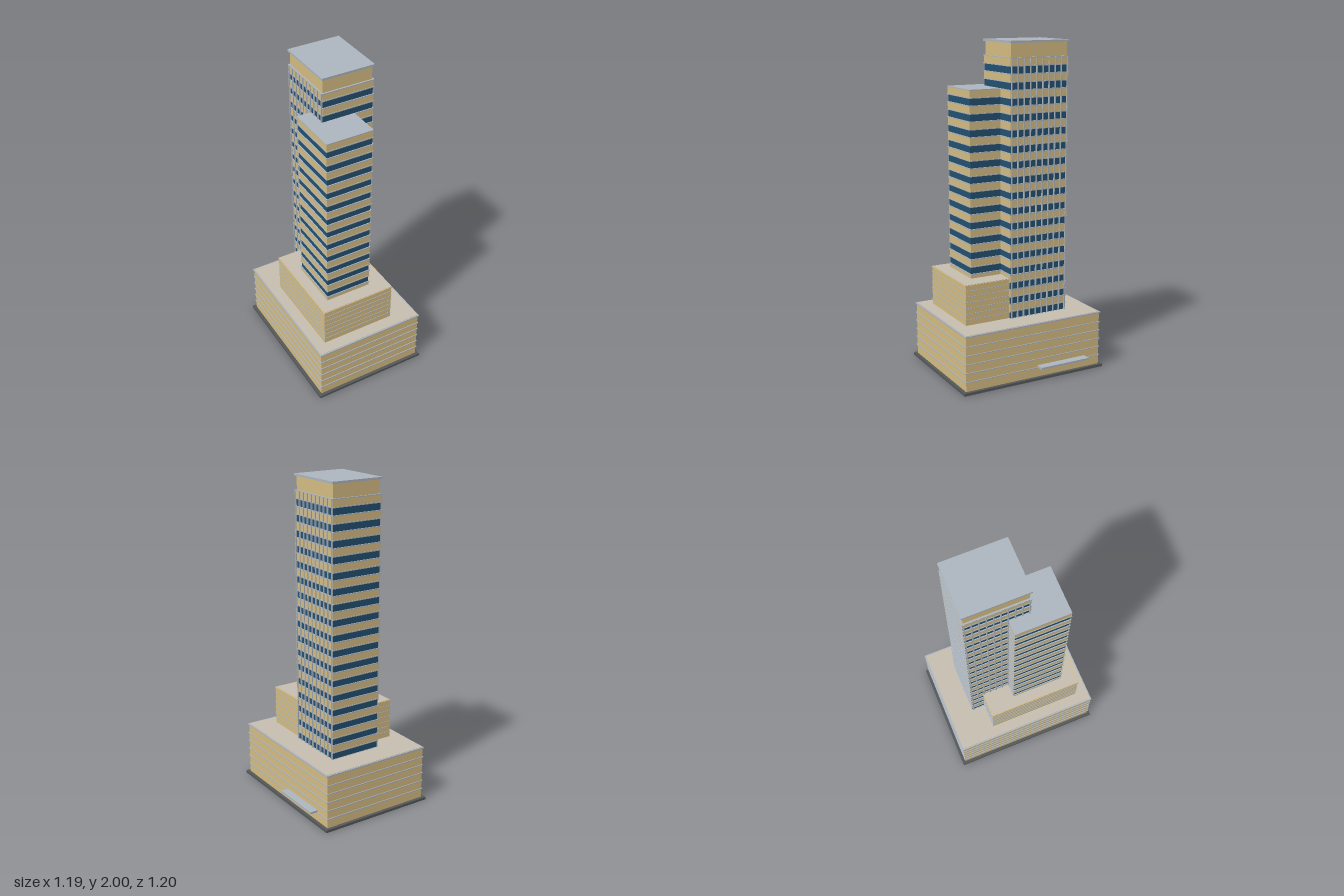
import * as THREE from 'three';

const mat = (name, color) => {
  const m = new THREE.MeshStandardMaterial({ color });
  m.name = name;
  return m;
};

export function createModel() {
  const stone = mat('sandstone', 0xd4bc82);
  const glass = mat('blueGlass', 0x24506f);
  const metal = mat('paleMetal', 0xadb5bf);
  const paving = mat('terracePaving', 0xc6beb0);
  const asphalt = mat('darkPlinth', 0x55585a);

  const model = new THREE.Group();
  model.name = 'officeTower';
  // The whole block stands turned on its site
  model.rotation.y = THREE.MathUtils.degToRad(-47.4);

  // Box from a footprint [x0, x1, z0, z1], grown outward by `grow`
  const slab = (parent, name, material, [x0, x1, z0, z1], y0, y1, grow = 0) => {
    const mesh = new THREE.Mesh(
      new THREE.BoxGeometry(x1 - x0 + 2 * grow, y1 - y0, z1 - z0 + 2 * grow), material);
    mesh.position.set((x0 + x1) / 2, (y0 + y1) / 2, (z0 + z1) / 2);
    mesh.name = name;
    parent.add(mesh);
    return mesh;
  };
  const section = (name) => {
    const g = new THREE.Group();
    g.name = name;
    model.add(g);
    return g;
  };

  // Plinth
  slab(model, 'plinth', asphalt, [-0.476, 0.476, -0.37, 0.37], 0, 0.016);

  // Podium with a thin ledge at every floor
  const podium = section('podium');
  const podiumPlan = [-0.456, 0.456, -0.35, 0.35];
  slab(podium, 'podiumWalls', stone, podiumPlan, 0.016, 0.347);
  for (let i = 1; i <= 5; i++) {
    const y = 0.02 + i * 0.0535;
    slab(podium, 'podiumLedge', metal, podiumPlan, y - 0.003, y + 0.003, 0.005);
  }
  slab(podium, 'podiumCornice', metal, podiumPlan, 0.345, 0.353, 0.006);
  slab(podium, 'podiumTerrace', paving, podiumPlan, 0.35, 0.355, -0.002);

  // Entrance canopy
  slab(model, 'entranceCanopy', metal, [-0.353, -0.02, -0.4, -0.348], 0.076, 0.088);

  // Middle tier with closely spaced ledges
  const tier = section('middleTier');
  const tierPlan = [-0.215, 0.376, -0.193, 0.279];
  slab(tier, 'tierWalls', stone, tierPlan, 0.354, 0.598);
  for (let i = 1; i <= 6; i++) {
    const y = 0.355 + i * 0.035;
    slab(tier, 'tierLedge', metal, tierPlan, y - 0.002, y + 0.002, 0.003);
  }
  slab(tier, 'tierParapet', stone, tierPlan, 0.592, 0.6, 0.003);
  slab(tier, 'tierTerrace', paving, tierPlan, 0.597, 0.602, -0.002);

  // Shaft: glass core wrapped by stone spandrels, with sills along each window band
  const ground = 0.355, storey = 0.0912, windowHeight = 0.042;
  const buildShaft = (group, plan, first, count) => {
    const top = ground + (first + count) * storey;
    const base = ground + first * storey;
    slab(group, 'glazing', glass, plan, first ? 0.6 : base, top - 0.01);
    if (first) slab(group, 'baseSpandrel', stone, plan, 0.601, base, 0.003);
    for (let i = 0; i < count; i++) {
      const y = base + i * storey, head = y + windowHeight;
      slab(group, 'spandrel', stone, plan, head, y + storey, 0.003);
      slab(group, 'windowHead', metal, plan, head - 0.001, head + 0.005, 0.006);
      slab(group, 'windowSill', metal, plan, y - 0.005, y + 0.001, 0.006);
    }
    return top;
  };

  // Lower shaft
  const lower = section('lowerShaft');
  const lowerPlan = [-0.04, 0.284, -0.081, 0.206];
  const lowerTop = buildShaft(lower, lowerPlan, 3, 12);
  slab(lower, 'lowerRoof', metal, lowerPlan, lowerTop - 0.005, lowerTop + 0.001, 0.005);

  // Tall shaft
  const tall = section('tallShaft');
  const tallPlan = [-0.297, 0.084, -0.203, 0.118];
  const tallTop = buildShaft(tall, tallPlan, 0, 17);
  slab(tall, 'shaftCornice', metal, tallPlan, tallTop - 0.005, tallTop + 0.001, 0.006);

  // Vertical fins on the two long faces of the tall shaft
  const finCount = 10;
  for (let i = 0; i < finCount; i++) {
    const x = -0.292 + (0.371 * i) / (finCount - 1);
    for (const z of [tallPlan[2] - 0.004, tallPlan[3] + 0.004]) {
      slab(tall, 'fin', metal, [x - 0.003, x + 0.003, z - 0.005, z + 0.005], ground, tallTop);
    }
  }

  // Penthouse and roof
  const crown = section('crown');
  slab(crown, 'penthouse', stone, tallPlan, tallTop, 1.988, -0.004);
  slab(crown, 'crownRoof', metal, tallPlan, 1.987, 2, 0.006);

  const root = new THREE.Group();
  root.name = 'building';
  root.add(model);
  return root;
}
